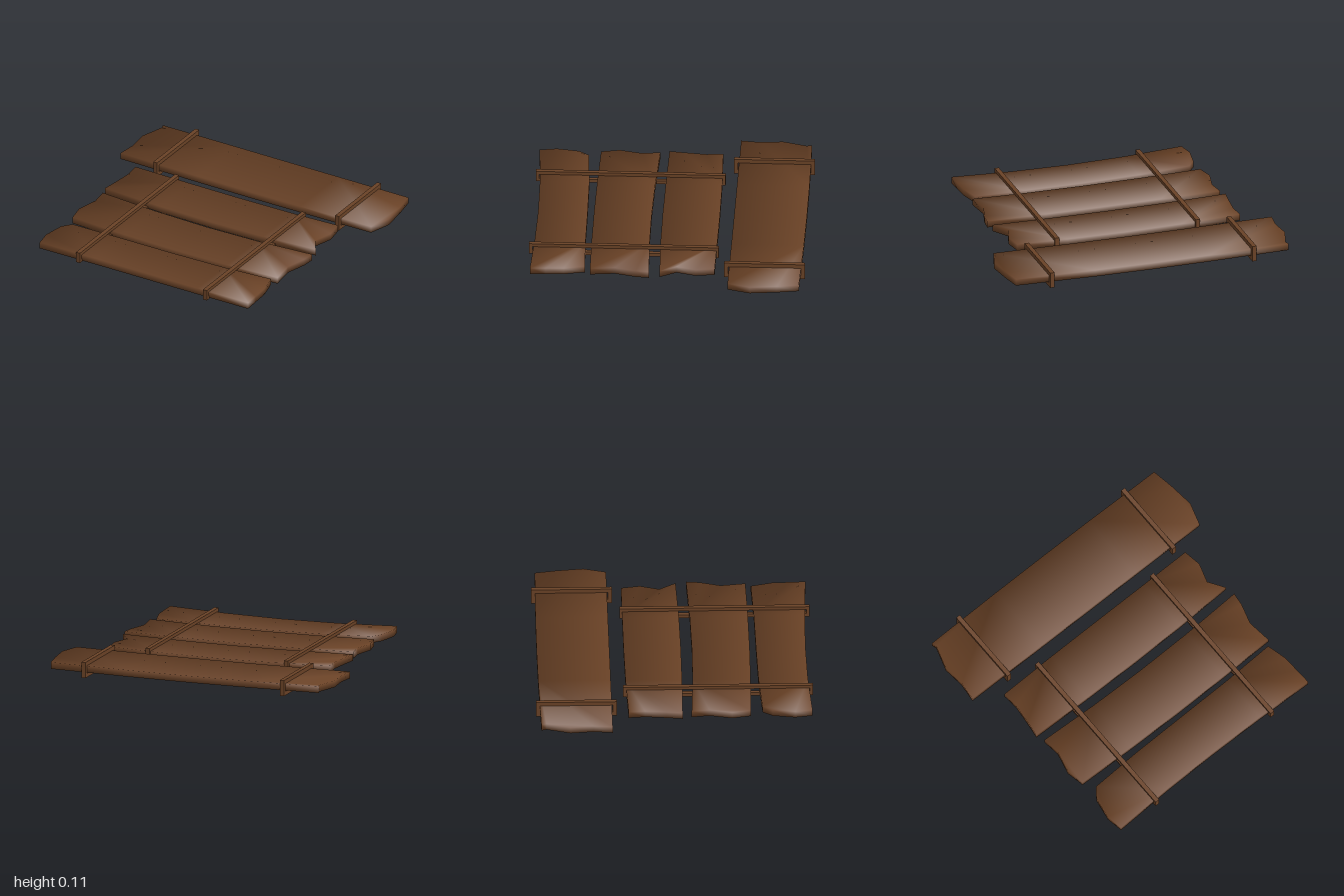
import * as THREE from 'three';

const wood = new THREE.MeshStandardMaterial({ color: 0x6a4226 });
wood.name = 'brown wood';

// Warped plank: jagged end chains run back to front as [x, z]; midBack and midFront
// are the long edges at x = 0; the board sags in the middle. Normals lean outward
// at the rim so the board looks worn and rounded.
function plank(name, left, right, midBack, midFront, sag) {
  const stations = [-0.4, 0, 0.4];
  const edge = (x, pick, mid) => {
    const end = pick(x < 0 ? left : right);
    return [x, mid + (end[1] - mid) * (x / end[0]) ** 2];
  };
  const back = stations.map((x) => edge(x, (c) => c[0], midBack));
  const front = stations.map((x) => edge(x, (c) => c[c.length - 1], midFront)).reverse();
  const ring = [left[0], ...back, ...right, ...front, ...left.slice(1).reverse()];
  const n = ring.length;
  const r = right.length;
  const f3 = 4 + r, f2 = f3 + 1, f1 = f3 + 2;

  const positions = [], normals = [], index = [];
  const outward = (a, b) => new THREE.Vector2(b[1] - a[1], a[0] - b[0]).normalize();
  for (const up of [1, -1]) {
    ring.forEach((p, i) => {
      const drop = sag * (1 - Math.min(1, Math.abs(p[0]) / 0.82) ** 2);
      positions.push(p[0], (up > 0 ? 0.08 : 0.035) - drop, p[1]);
      const o = outward(ring[(i + n - 1) % n], p).add(outward(p, ring[(i + 1) % n])).normalize();
      const v = new THREE.Vector3(o.x, up, o.y).normalize();
      normals.push(v.x, v.y, v.z);
    });
  }

  // Top and bottom, filled region by region
  const range = (a, b) => Array.from({ length: b - a + 1 }, (_, i) => a + i);
  const regions = [
    [0, 1, ...range(f1, n - 1)],
    [1, 2, f2, f1],
    [2, 3, f3, f2],
    range(3, f3),
  ];
  for (const region of regions) {
    const outline = region.map((i) => new THREE.Vector2(...ring[i]));
    for (const tri of THREE.ShapeUtils.triangulateShape(outline, [])) {
      let [a, b, c] = tri.map((i) => region[i]);
      const area = THREE.ShapeUtils.area([a, b, c].map((i) => new THREE.Vector2(...ring[i])));
      if (area > 0) [b, c] = [c, b];
      index.push(a, b, c, a + n, c + n, b + n);
    }
  }
  // Rim
  for (let i = 0; i < n; i++) {
    const j = (i + 1) % n;
    index.push(j, j + n, i + n, j, i + n, i);
  }

  const geometry = new THREE.BufferGeometry();
  geometry.setAttribute('position', new THREE.Float32BufferAttribute(positions, 3));
  geometry.setAttribute('normal', new THREE.Float32BufferAttribute(normals, 3));
  geometry.setIndex(index);
  const mesh = new THREE.Mesh(geometry, wood);
  mesh.name = name;
  return mesh;
}

// Thin rectangular loop wrapped around the planks
function strap(name, x, z0, z1, y0, y1, wall) {
  const rect = (Type, d) => {
    const path = new Type();
    path.moveTo(z0 + d, y0 + d);
    path.lineTo(z1 - d, y0 + d);
    path.lineTo(z1 - d, y1 - d);
    path.lineTo(z0 + d, y1 - d);
    path.closePath();
    return path;
  };
  const shape = rect(THREE.Shape, 0);
  shape.holes.push(rect(THREE.Path, wall));
  const geometry = new THREE.ExtrudeGeometry(shape, { depth: 0.03, bevelEnabled: false });
  geometry.translate(0, 0, -0.015);
  geometry.rotateY(-Math.PI / 2);
  const mesh = new THREE.Mesh(geometry, wood);
  mesh.name = name;
  mesh.position.x = x;
  return mesh;
}

export function createModel() {
  const group = new THREE.Group();
  group.name = 'plankWalkway';

  group.add(
    plank('backPlank',
      [[-0.96, -0.895], [-0.95, -0.86], [-1, -0.7], [-0.985, -0.55], [-1, -0.42]],
      [[0.955, -0.895], [0.98, -0.75], [1, -0.57], [0.955, -0.42]],
      -0.905, -0.42, 0.006),
    plank('innerBackPlank',
      [[-0.815, -0.31], [-0.805, -0.2], [-0.82, -0.06], [-0.835, 0.05]],
      [[0.755, -0.325], [0.775, -0.2], [0.735, -0.07], [0.805, 0.04]],
      -0.325, 0.057, 0.015),
    plank('innerFrontPlank',
      [[-0.815, 0.11], [-0.8, 0.23], [-0.835, 0.38], [-0.81, 0.505]],
      [[0.82, 0.11], [0.81, 0.2], [0.77, 0.34], [0.79, 0.505]],
      0.13, 0.515, 0.015),
    plank('frontPlank',
      [[-0.76, 0.583], [-0.81, 0.65], [-0.835, 0.8], [-0.815, 0.915]],
      [[0.76, 0.54], [0.795, 0.68], [0.8, 0.8], [0.805, 0.905]],
      0.557, 0.887, 0.015),
  );

  group.add(
    strap('backStrapRight', -0.71, -0.925, -0.387, 0, 0.107, 0.027),
    strap('backStrapLeft', 0.71, -0.925, -0.387, 0, 0.107, 0.027),
    strap('longStrapRight', -0.51, -0.34, 0.925, 0.018, 0.093, 0.022),
    strap('longStrapLeft', 0.48, -0.34, 0.925, 0.018, 0.093, 0.022),
  );
  return group;
}
